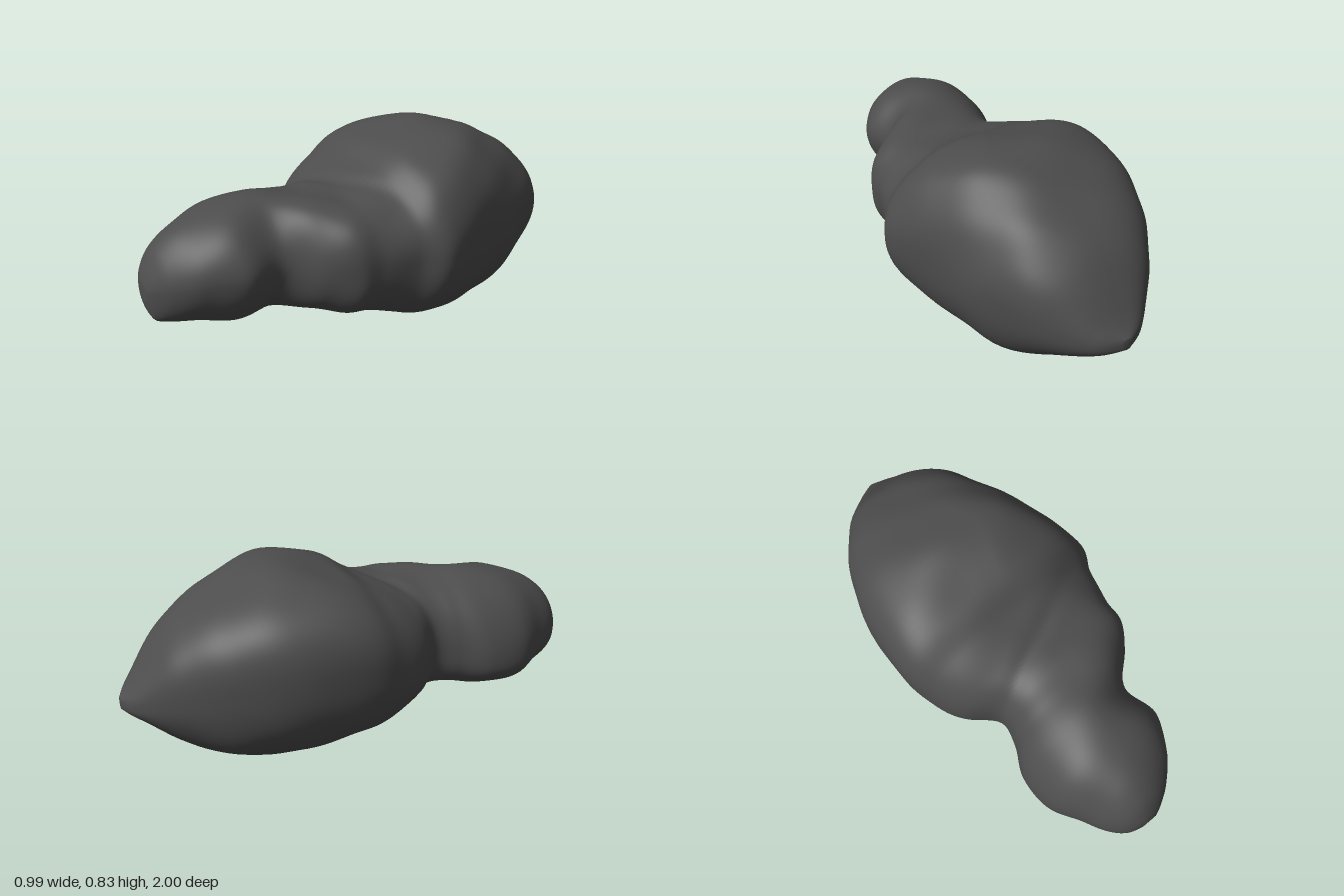
import * as THREE from 'three';

// Cross-sections from back to front:
// z, left x, right x, bottom y, top y, x of top, x of bottom, y of left side, y of right side
const SECTIONS = [
  [-1.00, -0.05, -0.01, 0.31, 0.36, -0.03, -0.03, 0.335, 0.335],
  [-0.95, -0.135, 0.10, 0.27, 0.415, -0.03, 0.00, 0.34, 0.34],
  [-0.80, -0.28, 0.235, 0.165, 0.62, -0.03, 0.00, 0.39, 0.38],
  [-0.60, -0.405, 0.335, 0.04, 0.745, 0.00, 0.04, 0.43, 0.41],
  [-0.35, -0.48, 0.41, 0.005, 0.828, 0.09, 0.06, 0.45, 0.42],
  [-0.10, -0.495, 0.49, 0.04, 0.785, 0.04, 0.07, 0.45, 0.43],
  [0.04, -0.465, 0.435, 0.08, 0.71, 0.00, 0.07, 0.43, 0.42],
  [0.18, -0.39, 0.405, 0.14, 0.665, 0.02, 0.07, 0.40, 0.41],
  [0.29, -0.28, 0.40, 0.16, 0.662, 0.04, 0.06, 0.38, 0.41],
  [0.40, -0.295, 0.325, 0.18, 0.67, 0.02, 0.00, 0.36, 0.42],
  [0.53, -0.35, 0.21, 0.172, 0.675, -0.02, -0.05, 0.34, 0.44],
  [0.69, -0.35, 0.235, 0.178, 0.662, -0.02, -0.05, 0.33, 0.45],
  [0.83, -0.28, 0.165, 0.205, 0.61, -0.05, -0.05, 0.35, 0.44],
  [0.93, -0.215, 0.08, 0.23, 0.54, -0.07, -0.04, 0.36, 0.41],
  [0.98, -0.16, 0.01, 0.255, 0.465, -0.08, -0.04, 0.365, 0.39],
  [1.00, -0.10, -0.03, 0.33, 0.41, -0.08, -0.05, 0.375, 0.375],
];

// Catmull-Rom interpolation through the rows
function sectionAt(t) {
  const last = SECTIONS.length - 1;
  const i = Math.min(Math.floor(t), last - 1), f = t - i;
  const row = k => SECTIONS[Math.max(0, Math.min(last, k))];
  const [a, b, c, d] = [row(i - 1), row(i), row(i + 1), row(i + 2)];
  return b.map((p, k) => p + 0.5 * f * (c[k] - a[k] +
    f * (2 * a[k] - 5 * p + 4 * c[k] - d[k] + f * (3 * (p - c[k]) + d[k] - a[k]))));
}

// Superellipse exponents for upper-right, upper-left, lower-left, lower-right
const BODY = [2.15, 2.85, 2.25, 2.35];
const NECK = [2.5, 2.3, 2.3, 2.6];
const HEAD = [1.85, 1.95, 2.4, 1.8];

function pointAt(s, angle) {
  const [z, xl, xr, yb, yt, xTop, xBot, yl, yr] = s;
  const c = Math.cos(angle), n = Math.sin(angle);
  const right = c >= 0, up = n >= 0;
  const q = up ? (right ? 0 : 1) : (right ? 3 : 2);
  const { lerp, smoothstep } = THREE.MathUtils;
  const e = 2 / lerp(lerp(BODY[q], NECK[q], smoothstep(z, 0, 0.22)), HEAD[q], smoothstep(z, 0.28, 0.55));
  const cx = up ? xTop : xBot, cy = right ? yr : yl;
  const u = Math.abs(c) ** e, v = Math.abs(n) ** e;
  const p = new THREE.Vector3(cx + ((right ? xr : xl) - cx) * u, cy + ((up ? yt : yb) - cy) * v, z);

  // Slanted folds where the two lobes meet, and a soft uneven surface
  const fold = (at, width, depth) => depth * Math.exp(-(((z - at + 0.45 * p.x) / width) ** 2));
  const fade = smoothstep(1 - Math.abs(z), 0, 0.2);
  const lumps = 0.006 * Math.sin(9 * p.x + 5 * z) * Math.sin(8 * p.y - 7 * z + 1) +
    0.004 * Math.sin(17 * p.x - 11 * p.y + 3) * Math.sin(19 * z + 6 * p.y);
  const top = Math.max(0, n) * Math.exp(-((p.x / 0.28) ** 2));
  const outward = lumps * fade - fold(0.17, 0.035, 0.014) * top;
  return p.addScaledVector(new THREE.Vector3(c, n, 0), outward);
}

function lobedRock(rings, sides) {
  const pos = [], index = [];
  for (let i = 0; i <= rings; i++) {
    const s = sectionAt((i / rings) * (SECTIONS.length - 1));
    for (let j = 0; j < sides; j++) pos.push(...pointAt(s, (j / sides) * Math.PI * 2).toArray());
  }
  for (let i = 0; i < rings; i++) {
    for (let j = 0; j < sides; j++) {
      const k = (j + 1) % sides;
      const a = i * sides + j, b = i * sides + k;
      index.push(a, b, a + sides, b, b + sides, a + sides);
    }
  }
  // Close both tips
  const back = pos.length / 3, front = back + 1, end = rings * sides;
  pos.push(-0.03, 0.335, -1, -0.065, 0.375, 1);
  for (let j = 0; j < sides; j++) {
    const k = (j + 1) % sides;
    index.push(back, k, j, front, end + j, end + k);
  }
  const geo = new THREE.BufferGeometry();
  geo.setAttribute('position', new THREE.Float32BufferAttribute(pos, 3));
  geo.setIndex(index);
  geo.computeVertexNormals();
  return geo;
}

export function createModel() {
  const group = new THREE.Group();
  group.name = 'asteroid';
  const rock = new THREE.MeshStandardMaterial({ color: 0x4d4d4d });
  rock.name = 'dark grey rock';
  const body = new THREE.Mesh(lobedRock(120, 96), rock);
  body.name = 'rockBody';
  group.add(body);
  return group;
}
